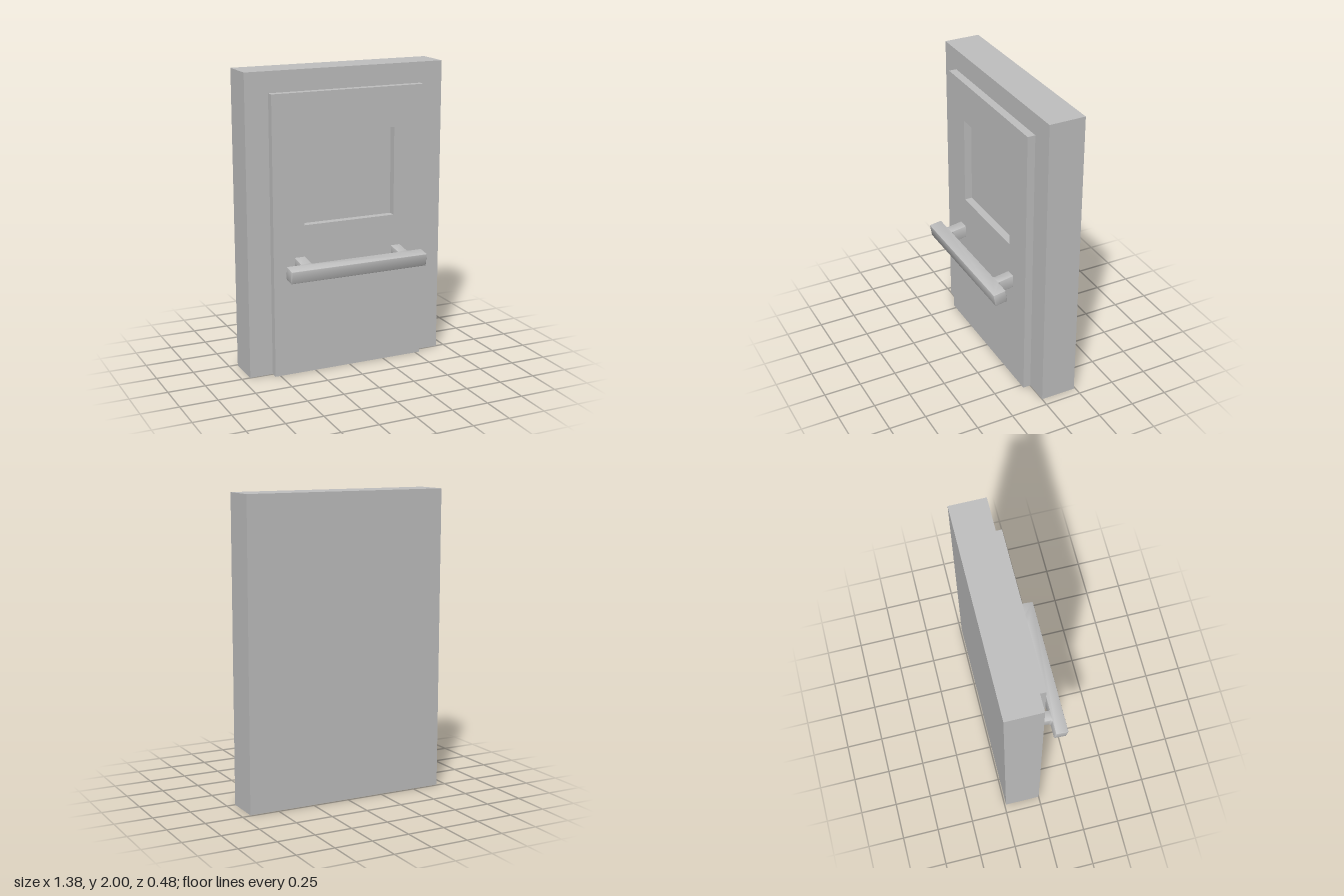
import * as THREE from 'three';
import { toCreasedNormals } from 'three/addons/utils/BufferGeometryUtils.js';

export function createModel() {
  const group = new THREE.Group();
  const grey = new THREE.MeshStandardMaterial({ color: 0xc0c0c0 });
  grey.name = 'grey';

  const add = (name, geometry) => {
    const mesh = new THREE.Mesh(geometry, grey);
    mesh.name = name;
    group.add(mesh);
    return mesh;
  };
  const rect = (Type, x0, y0, x1, y1) => new Type([
    new THREE.Vector2(x0, y0), new THREE.Vector2(x1, y0),
    new THREE.Vector2(x1, y1), new THREE.Vector2(x0, y1),
  ]);

  // Thick backing slab
  add('frame', new THREE.BoxGeometry(1.384, 2, 0.24).translate(0, 1, -0.12));

  // Door leaf with a window opening down to the slab
  const leaf = rect(THREE.Shape, -0.535, 0, 0.531, 1.862);
  leaf.holes.push(rect(THREE.Path, -0.321, 1.004, 0.32, 1.594));
  add('doorLeaf', new THREE.ExtrudeGeometry(leaf, { depth: 0.052, bevelEnabled: false }));

  // Pull handle: bar and two filleted posts in one plan outline, y pointing away from the door
  const left = -0.49, right = 0.474, back = 0.101, front = 0.188, root = -0.02;
  const r = 0.012, c = 0.008;
  const plan = new THREE.Shape();
  plan.moveTo(left + c, front);
  plan.quadraticCurveTo(left, front, left, front - c);
  plan.lineTo(left, back + c);
  plan.quadraticCurveTo(left, back, left + c, back);
  for (const [a, b] of [[-0.39, -0.317], [0.303, 0.37]]) {
    plan.lineTo(a - r, back);
    plan.quadraticCurveTo(a, back, a, back - r);
    plan.lineTo(a, root);
    plan.lineTo(b, root);
    plan.lineTo(b, back - r);
    plan.quadraticCurveTo(b, back, b + r, back);
  }
  plan.lineTo(right - c, back);
  plan.quadraticCurveTo(right, back, right, back + c);
  plan.lineTo(right, front - c);
  plan.quadraticCurveTo(right, front, right - c, front);

  const height = 0.084, bevel = 0.004;
  const handleGeometry = new THREE.ExtrudeGeometry(plan, {
    depth: height - 2 * bevel, curveSegments: 5,
    bevelThickness: bevel, bevelSize: bevel, bevelOffset: -bevel, bevelSegments: 2,
  });
  handleGeometry.translate(0, 0, bevel - height / 2).rotateX(Math.PI / 2);
  const handle = add('handle', toCreasedNormals(handleGeometry, 0.7));
  handle.position.set(0, 0.752, 0.052);
  handle.rotation.x = 0.16; // bar droops slightly away from the door

  return group;
}
